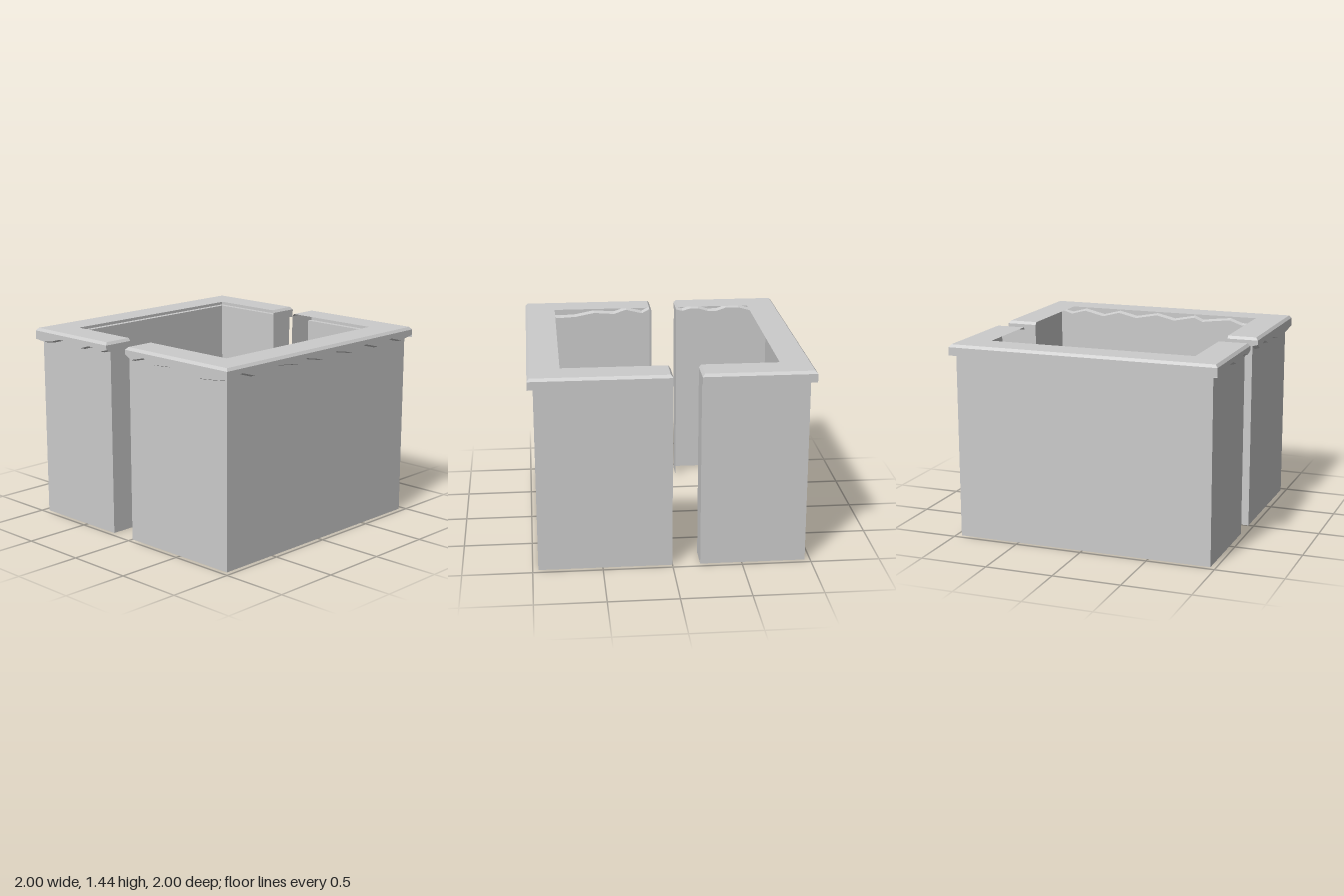
import * as THREE from 'three';

const WALL = 0.96, INNER = 0.77, TOP = 1.44, RIM = 1.42, BEVEL = 0.017, FLAT = 1.36;

const material = new THREE.MeshStandardMaterial({ color: 0xcccccc, side: THREE.DoubleSide, flatShading: true });

// Surface through a grid of points: rows[j][i], rows going up, i going right
function sheet(rows) {
  const pos = [];
  for (let j = 0; j < rows.length - 1; j++) {
    for (let i = 0; i < rows[j].length - 1; i++) {
      const a = rows[j][i], b = rows[j][i + 1], c = rows[j + 1][i + 1], d = rows[j + 1][i];
      pos.push(...a, ...b, ...c, ...a, ...c, ...d);
    }
  }
  const geo = new THREE.BufferGeometry();
  geo.setAttribute('position', new THREE.Float32BufferAttribute(pos, 3));
  geo.computeVertexNormals();
  return geo;
}

function addMesh(group, name, geo) {
  const mesh = new THREE.Mesh(geo, material);
  mesh.name = name;
  group.add(mesh);
}

// One straight run of wall with its coping, built facing +z.
// edge: [t, y] points of the coping's lower edge; drop: slope of its underside
function wallRun(name, edge, drop, angle) {
  const run = new THREE.Group();
  run.name = name;
  const last = edge.length - 1;

  // Row at depth d; corners are mitred by clamping, open ends are bevelled by inset
  const row = (d, yOf, inset = 0) => edge.map(([t, y], i) => {
    let x = t;
    if (i === 0 && t > -1) x += inset;
    if (i === last && t < 1) x -= inset;
    return [THREE.MathUtils.clamp(x, -d, d), yOf(y), d];
  });
  const foot = row(WALL, () => 0);
  const head = row(WALL, y => y - drop);
  addMesh(run, 'wall', sheet([foot, head]));
  addMesh(run, 'coping', sheet([
    head,
    row(1, y => y),
    row(1, () => RIM),
    row(1 - BEVEL, () => TOP, BEVEL),
    row(INNER, () => TOP, BEVEL),
  ]));

  // Closed return and bevel where the run stops at the gap
  for (const [i, s] of [[0, 1], [last, -1]]) {
    const [t, y] = edge[i];
    if (Math.abs(t) === 1) continue;
    const outline = [[INNER, 0], [WALL, 0], [WALL, y - drop], [1, y], [1, RIM], [INNER, RIM]];
    const end = new THREE.ShapeGeometry(new THREE.Shape(outline.map(p => new THREE.Vector2(...p))));
    end.rotateY(-Math.PI / 2).translate(t, 0, 0);
    addMesh(run, 'wallEnd', end);
    const low = [[t, RIM, INNER], [t, RIM, 1]];
    const high = [[t + s * BEVEL, TOP, INNER], [t + s * BEVEL, TOP, 1 - BEVEL]];
    addMesh(run, 'endBevel', sheet(s > 0 ? [low, high] : [high, low]));
  }
  run.rotation.y = angle;
  return run;
}

export function createModel() {
  const model = new THREE.Group();
  model.name = 'walledEnclosure';

  // Weathered lower edges of the coping
  const frontRight = [[-1, 1.355], [-0.9, 1.347], [-0.82, 1.36], [-0.73, 1.385], [-0.63, 1.387],
    [-0.55, 1.36], [-0.48, 1.36], [-0.4, 1.385], [-0.34, 1.387], [-0.27, 1.367], [-0.2, 1.385]];
  const frontLeft = [[0, 1.388], [0.06, 1.355], [0.19, 1.387], [0.29, 1.355], [0.45, 1.367],
    [0.6, 1.338], [0.72, 1.332], [0.87, 1.345], [1, 1.36]];
  const leftSide = [[-1, 1.36], [-0.85, 1.387], [-0.73, 1.35], [-0.6, 1.35], [-0.5, 1.385],
    [-0.38, 1.372], [-0.27, 1.358], [-0.2, 1.387], [-0.03, 1.353], [0.12, 1.387], [0.3, 1.353],
    [0.45, 1.387], [0.59, 1.35], [0.75, 1.387], [0.87, 1.355], [1, 1.38]];
  const straight = (a, b) => [[a, FLAT], [b, FLAT]];

  model.add(
    wallRun('frontRightWall', frontRight, 0.012, 0),
    wallRun('frontLeftWall', frontLeft, 0.012, 0),
    wallRun('leftWall', leftSide, 0.012, Math.PI / 2),
    wallRun('backLeftWall', straight(-1, 0), 0, Math.PI),
    wallRun('backRightWall', straight(0.2, 1), 0, Math.PI),
    wallRun('rightWall', straight(-1, 1), 0, -Math.PI / 2),
  );
  return model;
}
